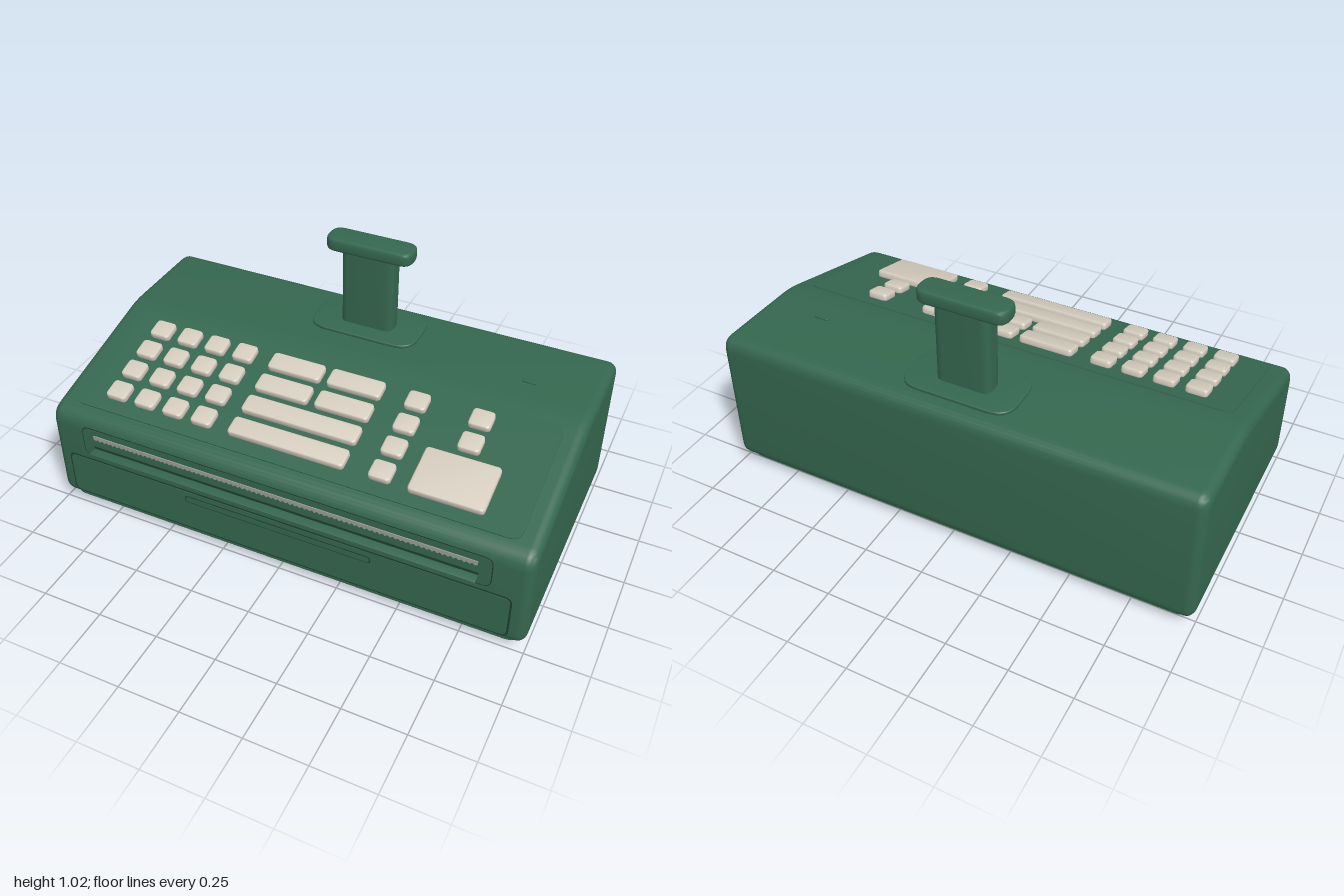
import * as THREE from 'three';
import { toCreasedNormals } from 'three/addons/utils/BufferGeometryUtils.js';

const make = (name, color) => {
  const m = new THREE.MeshStandardMaterial({ color });
  m.name = name;
  return m;
};

// Closed polygon with every corner rounded by its own radius: [x, y, r]
function roundedPolygon(points) {
  const shape = new THREE.Shape();
  const n = points.length;
  points.forEach(([x, y, r], i) => {
    const p = new THREE.Vector2(x, y);
    const toward = ([a, b]) => new THREE.Vector2(a, b).sub(p).setLength(r).add(p);
    const start = toward(points[(i + n - 1) % n]);
    const end = toward(points[(i + 1) % n]);
    if (i === 0) shape.moveTo(start.x, start.y);
    else shape.lineTo(start.x, start.y);
    shape.quadraticCurveTo(x, y, end.x, end.y);
  });
  shape.closePath();
  return shape;
}

// Extrusion of total depth d from z = 0, kept inside the outline by its bevel
function extrude(shape, d, bevel = 0, segments = 3) {
  const g = new THREE.ExtrudeGeometry(shape, {
    depth: d - 2 * bevel, bevelEnabled: bevel > 0, bevelThickness: bevel,
    bevelSize: bevel, bevelOffset: -bevel, bevelSegments: segments, curveSegments: 6,
  });
  g.translate(0, 0, bevel);
  return toCreasedNormals(g, 0.6);
}

function plate(w, h, d, r, bevel = 0) {
  const x = w / 2, y = h / 2;
  return extrude(roundedPolygon([[-x, -y, r], [x, -y, r], [x, y, r], [-x, y, r]]), d, bevel);
}

export function createModel() {
  const green = make('green casing', 0x35674f);
  const dark = make('dark green seam', 0x1f4031);
  const cream = make('cream keys', 0xd3cbbd);
  const metal = make('grey metal', 0x9a9d95);
  const rubber = make('black rubber', 0x1b1f1e);

  const model = new THREE.Group();
  const add = (name, geometry, material, x = 0, y = 0, z = 0, parent = model) => {
    const mesh = new THREE.Mesh(geometry, material);
    mesh.name = name;
    mesh.position.set(x, y, z);
    parent.add(mesh);
    return mesh;
  };
  const addFlat = (...args) => {
    const mesh = add(...args);
    mesh.rotation.x = -Math.PI / 2;
    return mesh;
  };

  // Wedge casing: side profile swept across the width
  const profile = roundedPolygon([
    [-0.515, 0.045, 0.05], [0.555, 0.045, 0.05], [0.555, 0.631, 0.06],
    [0.12, 0.631, 0.05], [-0.515, 0.473, 0.06],
  ]);
  const casing = extrude(profile, 2, 0.04, 6);
  casing.rotateY(Math.PI / 2);
  add('casing', casing, green, -1, 0, 0);

  // Base plate and feet
  addFlat('basePlate', plate(1.94, 1.005, 0.03, 0.05), green, 0, 0.025, -0.0175);
  const footGeometry = new THREE.CylinderGeometry(0.047, 0.036, 0.03, 24);
  for (const x of [-0.845, 0.845]) {
    for (const z of [0.395, -0.43]) add('foot', footGeometry, rubber, x, 0.015, z);
  }

  // Sloped keyboard: local y runs up the slope, local z points away from it
  const slope = Math.atan(0.158 / 0.635);
  const keyboard = new THREE.Group();
  keyboard.name = 'keyboard';
  keyboard.position.set(0, 0.631 - Math.tan(slope) * 0.31, 0.19);
  keyboard.rotation.x = slope - Math.PI / 2;
  model.add(keyboard);
  add('keyboardPanel', plate(1.84, 0.535, 0.005, 0.045), green, 0, 0, 0, keyboard);

  const rows = [0.026, 0.138, 0.249, 0.361];
  const addKey = (x0, x1, z, h = 0.082) => {
    const y = (0.195 - z) / Math.cos(slope);
    add('key', plate(x1 - x0, h, 0.03, 0.018, 0.007), cream, (x0 + x1) / 2, y, 0.005, keyboard);
  };
  rows.forEach((z, row) => {
    for (const x of [-0.76, -0.632, -0.504, -0.376, 0.368]) addKey(x - 0.044, x + 0.044, z);
    if (row < 2) {
      addKey(-0.257, -0.03, z);
      addKey(0, 0.226, z);
      addKey(0.581, 0.669, z);
    } else {
      addKey(-0.257, 0.226, z);
    }
  });
  addKey(0.48, 0.772, 0.308, 0.203);

  // Printer slot on the front
  const front = 0.515;
  add('printerSeam', plate(1.71, 0.142, 0.001, 0.035), dark, 0, 0.366, front);
  add('printerPanel', plate(1.702, 0.134, 0.002, 0.032), green, 0, 0.366, front);
  add('paperSlot', plate(1.61, 0.012, 0.003, 0.004), dark, 0, 0.345, front);
  add('paperTray', plate(1.61, 0.016, 0.04, 0.005, 0.003), green, 0, 0.332, front);

  // Serrated tear bar
  const bar = new THREE.Shape();
  const teeth = 80, pitch = 1.6 / teeth;
  bar.moveTo(0.8, 0.01);
  bar.lineTo(-0.8, 0.01);
  for (let i = 0; i < teeth; i++) {
    bar.lineTo(-0.8 + i * pitch, -0.004);
    bar.lineTo(-0.8 + (i + 0.5) * pitch, -0.012);
  }
  bar.lineTo(0.8, -0.004);
  bar.closePath();
  add('tearBar', extrude(bar, 0.006), metal, 0, 0.396, front);

  // Cash drawer front with its finger pull
  add('drawerSeam', plate(1.875, 0.2, 0.001, 0.03), dark, 0, 0.175, front);
  add('drawerFront', plate(1.86, 0.187, 0.003, 0.025), green, 0, 0.175, front);
  add('fingerPullSeam', plate(0.79, 0.032, 0.004, 0.014), dark, 0, 0.231, front);
  add('fingerPull', plate(0.782, 0.024, 0.005, 0.011), green, 0, 0.231, front);

  // Customer display pole: flange, column and cap
  addFlat('poleFlangeFoot', plate(0.43, 0.22, 0.01, 0.07), green, 0, 0.628, -0.363);
  addFlat('poleFlange', plate(0.46, 0.248, 0.014, 0.085, 0.004), green, 0, 0.634, -0.363);
  addFlat('poleColumn', plate(0.226, 0.094, 0.35, 0.035), green, 0, 0.64, -0.361);
  addFlat('poleCap', plate(0.368, 0.114, 0.055, 0.05, 0.012), green, 0, 0.969, -0.362);

  // Small button on the top deck
  addFlat('deckButton', plate(0.065, 0.022, 0.008, 0.009, 0.002), green, 0.725, 0.63, -0.255);

  return model;
}
